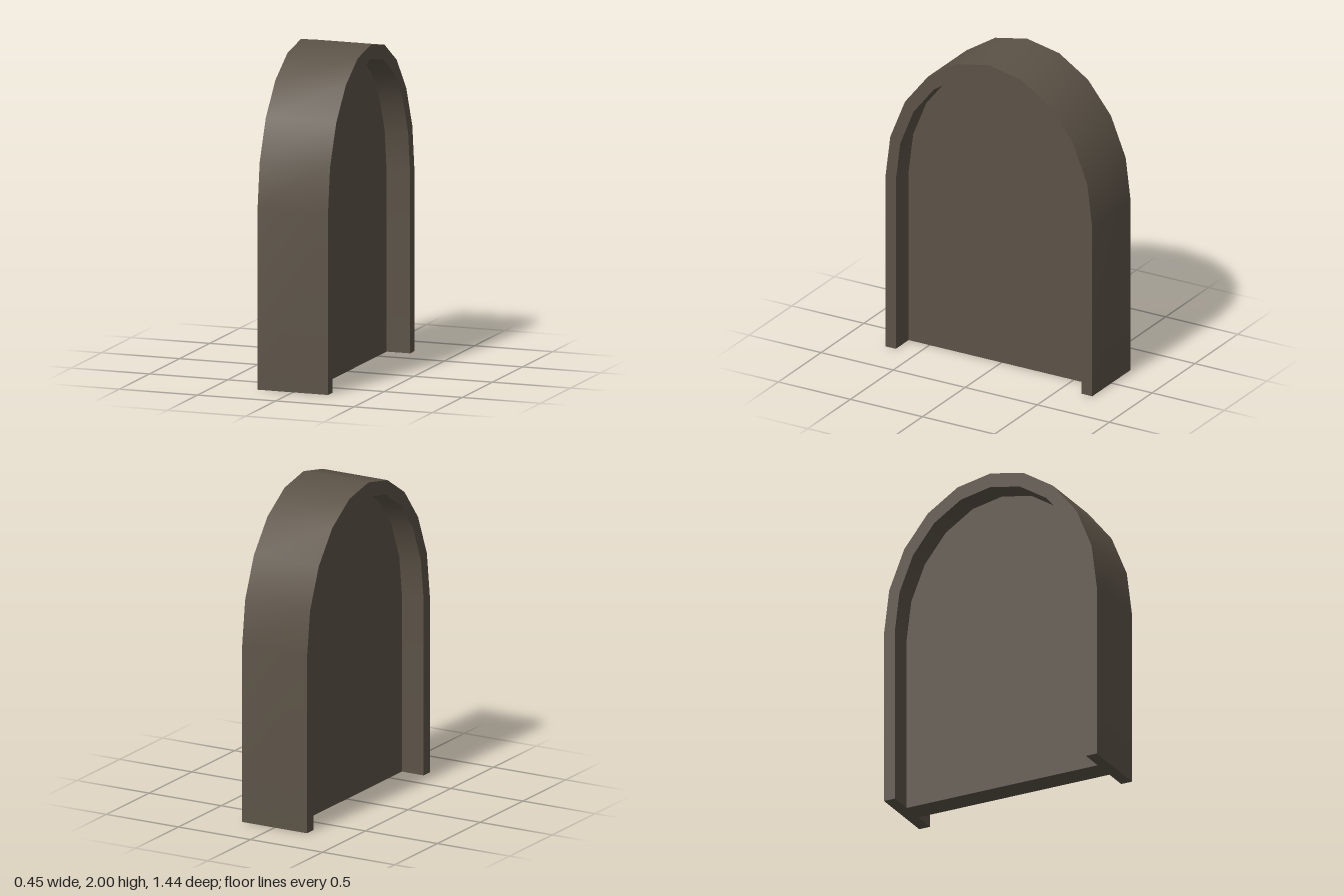
import * as THREE from 'three';
import { toCreasedNormals } from 'three/addons/utils/BufferGeometryUtils.js';

const SPRING = 1.1; // height where the curved head begins
const STEPS = 10;

// Points of a half-elliptical head, from the +radius side over to the other
function headPoints(radius, top) {
  return Array.from({ length: STEPS + 1 }, (_, i) => {
    const a = (i / STEPS) * Math.PI;
    return new THREE.Vector2(radius * Math.cos(a), SPRING + (top - SPRING) * Math.sin(a));
  });
}

// Extrudes an outline drawn in z-y, centred along x, smooth round the curve
function extrudeAlongX(points, depth) {
  const geometry = new THREE.ExtrudeGeometry(new THREE.Shape(points), { depth, bevelEnabled: false });
  geometry.translate(0, 0, -depth / 2);
  geometry.rotateY(Math.PI / 2);
  return toCreasedNormals(geometry, 0.5);
}

export function createModel() {
  const group = new THREE.Group();
  group.name = 'archedAlcove';
  const stone = new THREE.MeshStandardMaterial({ color: 0x5c5347 });
  stone.name = 'brown stone';

  const outer = headPoints(0.718, 2);
  const inner = headPoints(0.645, 1.91);
  const foot = (z) => new THREE.Vector2(z, 0);

  // Surround: two jambs joined by the curved head
  const surround = new THREE.Mesh(extrudeAlongX([
    foot(0.718), ...outer, foot(-0.718),
    foot(-0.645), ...inner.slice().reverse(), foot(0.645),
  ], 0.45), stone);
  surround.name = 'archSurround';

  // Panel: set back equally from both faces
  const panel = new THREE.Mesh(extrudeAlongX([foot(0.645), ...inner, foot(-0.645)], 0.15), stone);
  panel.name = 'recessedPanel';

  group.add(surround, panel);
  return group;
}
